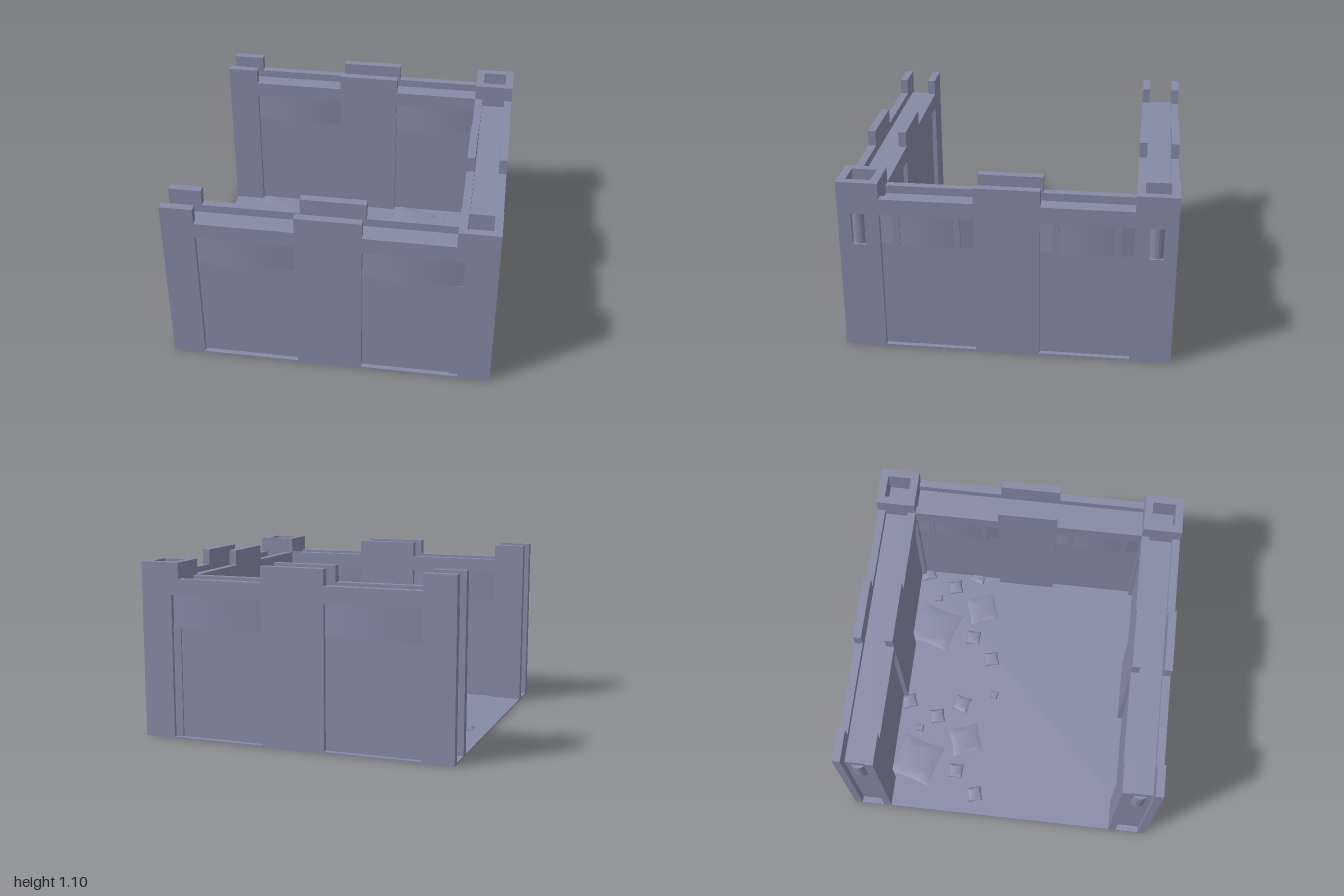
import * as THREE from 'three';
import { toCreasedNormals } from 'three/addons/utils/BufferGeometryUtils.js';

export function createModel() {
  const model = new THREE.Group();
  model.name = 'fort';
  const stone = new THREE.MeshStandardMaterial({ color: 0x868ba6 });
  stone.name = 'blueGreyStone';

  // Box given by its limits on each axis
  function box(parent, name, x0, x1, y0, y1, z0, z1) {
    const mesh = new THREE.Mesh(new THREE.BoxGeometry(x1 - x0, y1 - y0, Math.abs(z1 - z0)), stone);
    mesh.position.set((x0 + x1) / 2, (y0 + y1) / 2, (z0 + z1) / 2);
    mesh.name = name;
    parent.add(mesh);
  }

  // Bowed band standing in a recess; its back is at (x, z), angle turns it from facing +z
  function bowedBand(parent, name, x, z, angle, width, bulge, ribs) {
    const w = width / 2;
    const shape = new THREE.Shape();
    shape.moveTo(-w, -0.005);
    shape.lineTo(w, -0.005);
    shape.lineTo(w, 0.002);
    shape.quadraticCurveTo(0, bulge * 2, -w, 0.002);
    const geo = new THREE.ExtrudeGeometry(shape, { depth: 0.2, bevelEnabled: false, curveSegments: 12 });
    geo.rotateX(-Math.PI / 2);
    const group = new THREE.Group();
    group.name = name;
    const band = new THREE.Mesh(toCreasedNormals(geo, 0.6), stone);
    band.name = 'band';
    group.add(band);
    if (ribs) {
      for (const s of [-1, 1]) box(group, 'rib', s * w * 0.64 - 0.02, s * w * 0.64 + 0.02, 0, 0.2, -0.028, 0);
    }
    group.position.set(x, 0.7, z);
    group.rotation.y = Math.PI + angle;
    parent.add(group);
  }

  box(model, 'floor', -1, 1, 0, 0.01, -1, 1);

  // Front and back walls with their corner towers, mirrored across z
  for (const s of [1, -1]) {
    const wall = new THREE.Group();
    wall.name = s > 0 ? 'frontWall' : 'backWall';
    model.add(wall);
    const b = (name, x0, x1, y0, y1, z0, z1) => box(wall, name, x0, x1, y0, y1, s * z0, s * z1);

    b('wallCore', -0.96, 0.76, 0.01, 0.95, 0.78, 0.97);
    for (const [z0, z1] of [[0.95, 1], [0.75, 0.8]]) {
      b('endPier', -1, -0.8, 0, 1.1, z0, z1);
      b('middlePier', -0.2, 0.2, 0, 1.1, z0, z1);
      b('leftParapet', 0.2, 0.75, 0.9, 1, z0, z1);
      b('rightParapet', -0.8, -0.2, 0.9, 1, z0, z1);
    }
    for (const x of [-0.5, 0.5]) {
      bowedBand(wall, 'outerBand', x, s * 0.97, s > 0 ? 0 : Math.PI, 0.6, 0.027);
      bowedBand(wall, 'innerBand', x, s * 0.78, s > 0 ? Math.PI : 0, 0.6, 0.027);
    }
    bowedBand(wall, 'endSlit', -0.96, s * 0.875, -Math.PI / 2, 0.08, 0.02);

    // Corner tower, open at the top, with a slit in its side
    const tower = new THREE.Group();
    tower.name = 'cornerTower';
    model.add(tower);
    const t = (name, x0, x1, y0, y1, z0, z1) => box(tower, name, x0, x1, y0, y1, s * z0, s * z1);
    t('towerCore', 0.75, 0.97, 0.01, 0.95, 0.75, 0.97);
    t('cornerStrip', 0.75, 0.8, 0.01, 0.7, 0.78, 0.98);
    t('towerFace', 0.8, 0.95, 0, 1.1, 0.95, 1);
    t('towerFaceTop', 0.75, 0.8, 0.9, 1.1, 0.95, 1);
    t('towerInnerRim', 0.75, 0.8, 0.9, 1.1, 0.75, 0.95);
    t('towerInnerRim', 0.8, 0.95, 0.9, 1.1, 0.75, 0.8);
    t('towerSide', 0.95, 1, 0, 1.1, 0.75, 0.84);
    t('towerSide', 0.95, 1, 0, 1.1, 0.92, 1);
    t('belowSlit', 0.95, 1, 0, 0.7, 0.84, 0.92);
    t('aboveSlit', 0.95, 1, 0.9, 1.1, 0.84, 0.92);
    bowedBand(tower, 'towerSlit', 0.97, s * 0.88, Math.PI / 2, 0.08, 0.02);
  }

  // Side wall joining the two towers
  const side = new THREE.Group();
  side.name = 'sideWall';
  model.add(side);
  box(side, 'wallCore', 0.78, 0.97, 0.01, 0.95, -0.76, 0.76);
  for (const [x0, x1] of [[0.95, 1], [0.75, 0.8]]) {
    box(side, 'middlePier', x0, x1, 0, 1.1, -0.2, 0.19);
    box(side, 'parapet', x0, x1, 0.9, 1, 0.19, 0.75);
    box(side, 'parapet', x0, x1, 0.9, 1, -0.75, -0.2);
  }
  for (const z of [-0.475, 0.47]) {
    bowedBand(side, 'outerBand', 0.97, z, Math.PI / 2, 0.56, 0.028, true);
    bowedBand(side, 'innerBand', 0.78, z, -Math.PI / 2, 0.56, 0.028, true);
  }

  // Low pinched paving stones: x, z, half size, turn; repeated one unit along x
  const stones = [
    [-0.66, -0.62, 0.15, -0.27], [-0.48, -0.3, 0.105, 0.3], [-0.86, -0.19, 0.05, 0.25],
    [-0.71, -0.34, 0.05, 0], [-0.33, -0.52, 0.05, 0.25], [-0.43, -0.63, 0.025, 0],
    [-0.22, -0.36, 0.055, -0.25], [-0.13, -0.14, 0.027, -0.2], [-0.24, -0.73, 0.05, 0.35],
  ];
  for (const offset of [0, 1]) {
    for (const [x, z, r, turn] of stones) {
      if (x + offset > 0.8) continue;
      const a = r * 0.8, c = r * 0.62;
      const shape = new THREE.Shape();
      shape.moveTo(-a, -a);
      shape.quadraticCurveTo(0, -c, a, -a);
      shape.quadraticCurveTo(c, 0, a, a);
      shape.quadraticCurveTo(0, c, -a, a);
      shape.quadraticCurveTo(-c, 0, -a, -a);
      const geo = new THREE.ExtrudeGeometry(shape, {
        depth: 0.002, bevelThickness: 0.008, bevelSize: r * 0.2, bevelSegments: 1, curveSegments: 4,
      });
      geo.rotateX(-Math.PI / 2);
      const mesh = new THREE.Mesh(toCreasedNormals(geo, 0.9), stone);
      mesh.position.set(x + offset, 0.01, z);
      mesh.rotation.y = turn;
      mesh.name = 'pavingStone';
      model.add(mesh);
    }
  }
  return model;
}
